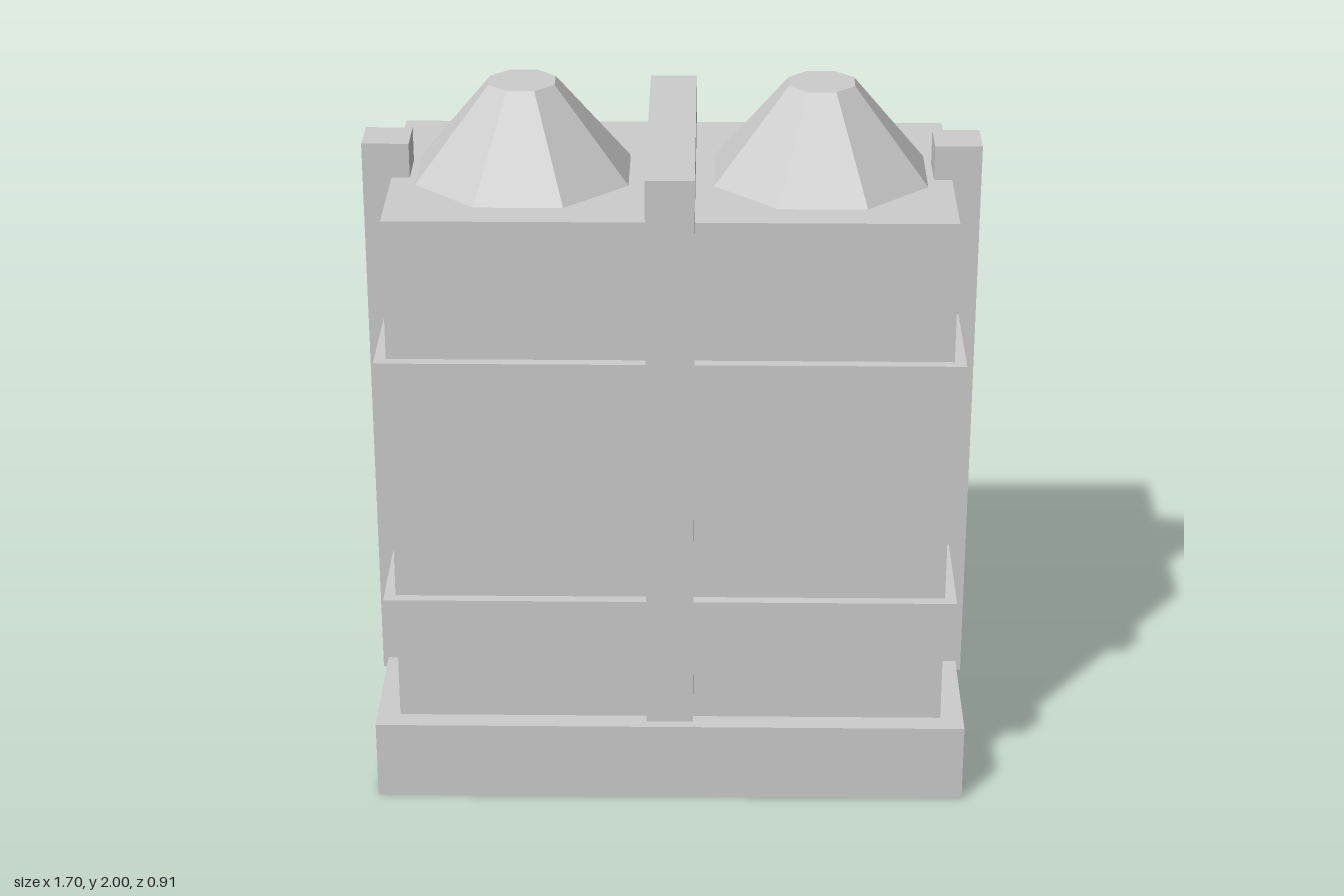
import * as THREE from 'three';

const material = new THREE.MeshStandardMaterial({ color: 0xcccccc, flatShading: true });

export function createModel() {
  const group = new THREE.Group();

  const add = (name, geometry, x, y, z) => {
    const mesh = new THREE.Mesh(geometry, material);
    mesh.name = name;
    mesh.position.set(x, y, z);
    group.add(mesh);
    return mesh;
  };

  // Box centred on x and z, spanning y0 to y1
  const block = (name, width, depth, y0, y1, x = 0) =>
    add(name, new THREE.BoxGeometry(width, y1 - y0, depth), x, (y0 + y1) / 2, 0);

  // Plinth and main body
  block('base', 1.67, 0.914, 0, 0.23);
  block('body', 1.54, 0.79, 0.2, 1.74);

  // Horizontal bands around the body
  block('lowerBand', 1.604, 0.852, 0.503, 0.615);
  block('upperBand', 1.604, 0.852, 1.228, 1.34);

  // Strap running up the front, over the top and down the back
  block('centreStrap', 0.132, 0.852, 0.2, 1.87);

  // Side posts and the two octagonal caps
  for (const [side, label] of [[1, 'left'], [-1, 'right']]) {
    block(label + 'Post', 0.13, 0.132, 0.2, 1.838, side * 0.785);
    const k = 1 / Math.cos(Math.PI / 8);
    const cap = new THREE.CylinderGeometry(0.09 * k, 0.292 * k, 0.26, 8);
    cap.rotateY(Math.PI / 8);
    add(label + 'Cap', cap, side * 0.409, 1.87, 0);
  }

  return group;
}
